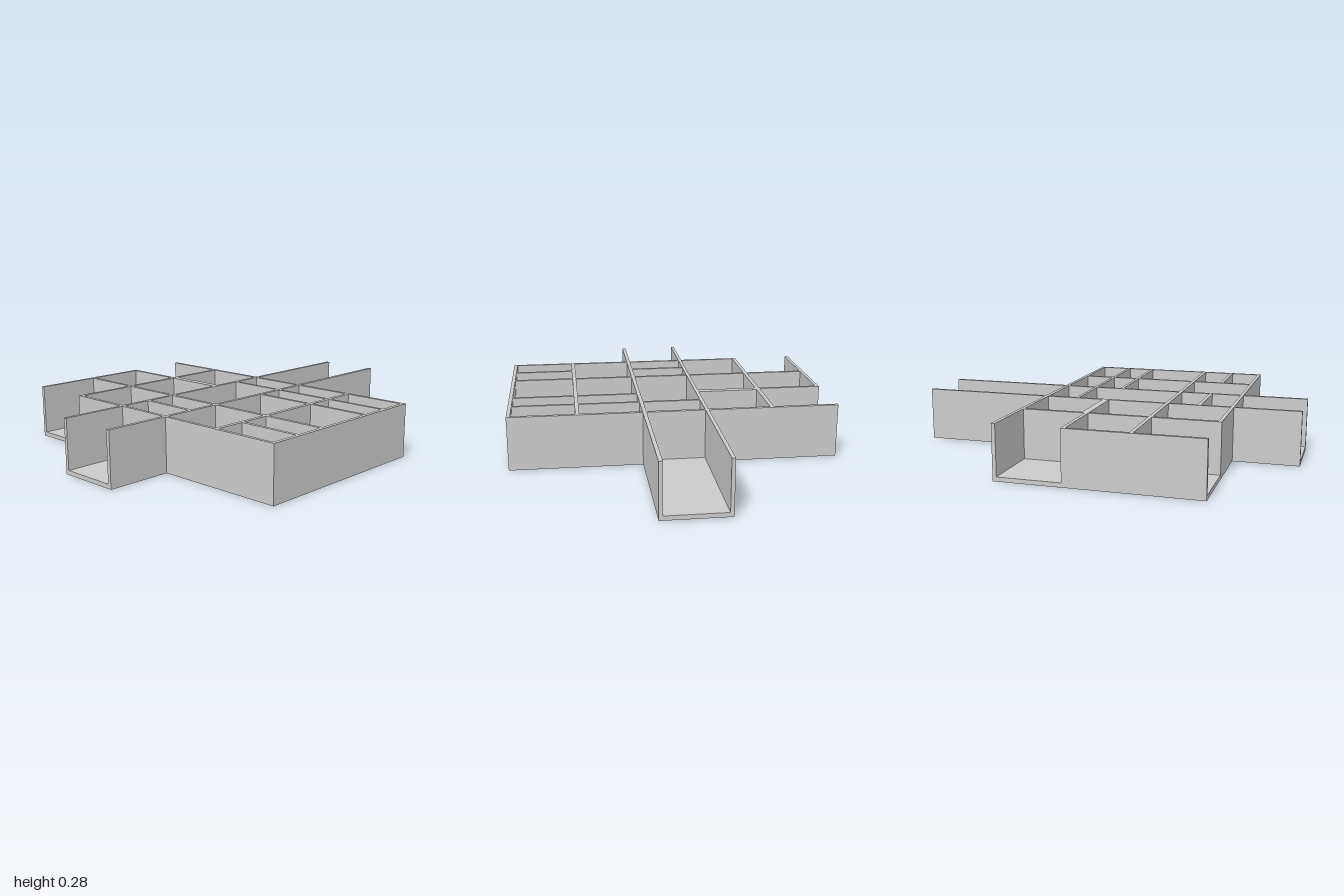
import * as THREE from 'three';

const HEIGHT = 0.275, FLOOR = 0.022;

// Closed path from [x, z] points; z is flipped so the extrusion can be laid flat
function trace(path, points) {
  points.forEach(([x, z], i) => (i ? path.lineTo(x, -z) : path.moveTo(x, -z)));
  path.closePath();
  return path;
}

function slab(name, shape, bottom, top, material) {
  const geometry = new THREE.ExtrudeGeometry(shape, { depth: top - bottom, bevelEnabled: false });
  geometry.rotateX(-Math.PI / 2).translate(0, bottom, 0);
  const mesh = new THREE.Mesh(geometry, material);
  mesh.name = name;
  return mesh;
}

export function createModel() {
  const group = new THREE.Group();
  group.name = 'compartmentTray';
  const material = new THREE.MeshStandardMaterial({ color: 0xcccccc, flatShading: true });

  // Cross-shaped floor
  const floor = trace(new THREE.Shape(), [
    [-0.667, 0.833], [0.333, 0.833], [0.333, 0.165], [1, 0.165], [1, -0.167], [0.333, -0.167],
    [0.333, -0.833], [-0.667, -0.833], [-0.667, -0.167], [-1, -0.167], [-1, 0.165], [-0.667, 0.165],
  ]);
  group.add(slab('floor', floor, 0, FLOOR, material));

  // Wall outline: arms open at their ends, back corners open to the back and to the side
  const walls = trace(new THREE.Shape(), [
    [-0.667, 0.833], [0.333, 0.833],
    [0.333, 0.165], [1, 0.165], [1, 0.146], [0.333, 0.146],
    [0.333, -0.149], [1, -0.149], [1, -0.167], [0.333, -0.167],
    [0.333, -0.833], [0.314, -0.833], [0.314, -0.502], [-0.003, -0.502],
    [-0.003, -0.833], [-0.667, -0.833], [-0.667, -0.815],
    [-0.335, -0.815], [-0.335, -0.502], [-0.667, -0.502],
    [-0.667, -0.167], [-1, -0.167], [-1, -0.149], [-0.667, -0.149],
    [-0.667, 0.146], [-1, 0.146], [-1, 0.165], [-0.667, 0.165],
  ]);

  // Closed compartments, row by row from back to front
  const rows = [
    { z: [-0.815, -0.502], cells: [[-0.317, -0.021]] },
    { z: [-0.482, -0.167], cells: [[-0.65, -0.335], [-0.317, -0.021], [0.015, 0.314]] },
    { z: [-0.149, 0.146], cells: [[-0.65, -0.501], [-0.483, -0.335], [-0.317, 0.146], [0.162, 0.314]] },
    { z: [0.165, 0.477], cells: [[-0.65, -0.335], [-0.317, -0.002], [0.015, 0.146], [0.162, 0.314]] },
    { z: [0.497, 0.814], cells: [[-0.65, -0.501], [-0.483, -0.335], [-0.317, -0.002], [0.015, 0.146], [0.162, 0.314]] },
  ];
  for (const { z: [z0, z1], cells } of rows) {
    for (const [x0, x1] of cells) {
      walls.holes.push(trace(new THREE.Path(), [[x0, z0], [x1, z0], [x1, z1], [x0, z1]]));
    }
  }
  // The back walls of the second row close it off
  group.add(slab('walls', walls, FLOOR, HEIGHT, material));

  return group;
}
